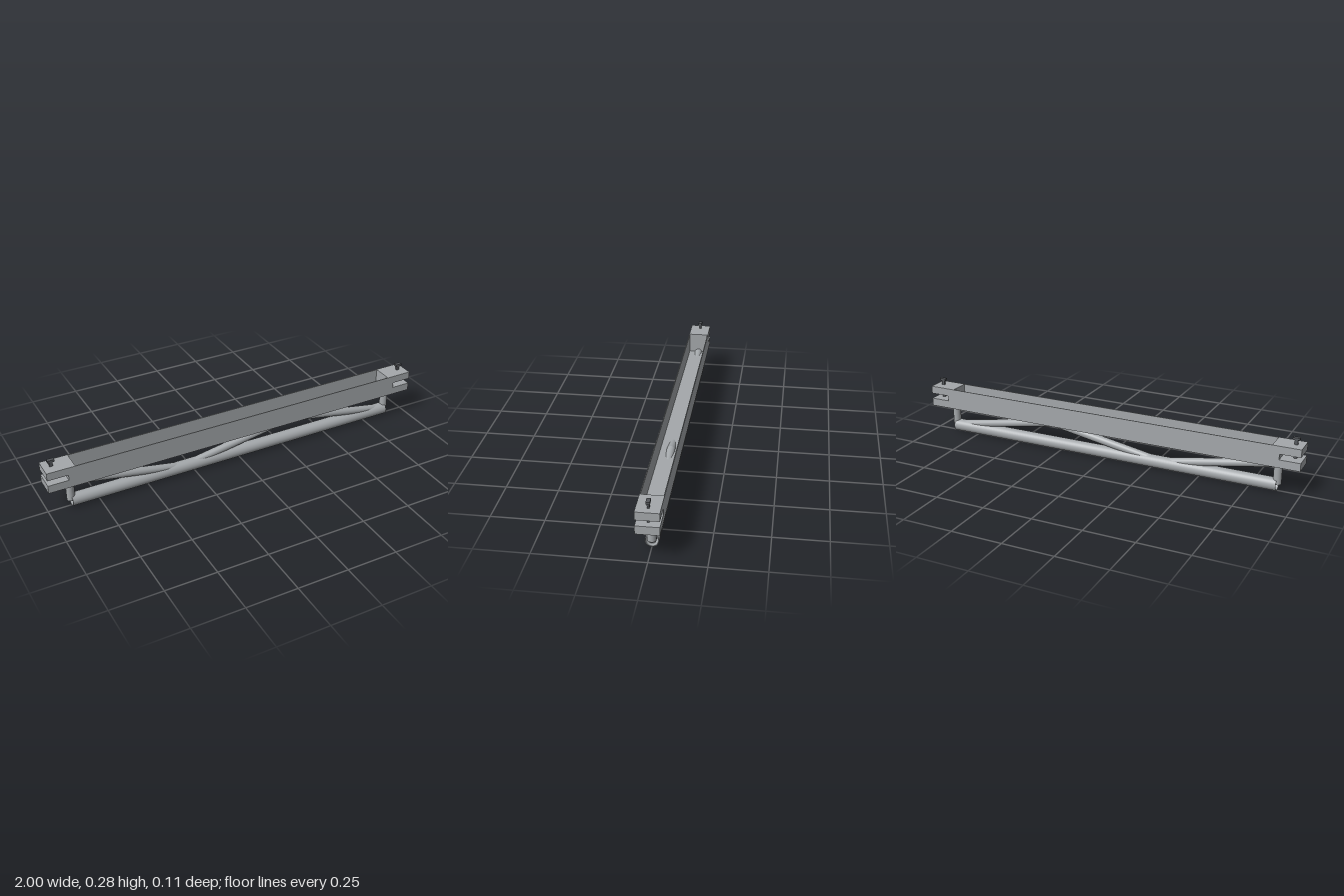
import * as THREE from 'three';
import { mergeGeometries } from 'three/addons/utils/BufferGeometryUtils.js';

const steel = new THREE.MeshStandardMaterial({ color: 0xa4a8ab, side: THREE.DoubleSide });
steel.name = 'grey steel';
const dark = new THREE.MeshStandardMaterial({ color: 0x55585c });
dark.name = 'dark bolt steel';

const WALL = 0.004;

// Open hollow pipe along x, centred on the origin
function pipe(radius, length) {
  const inner = radius - WALL;
  const parts = [radius, inner].map(r =>
    new THREE.CylinderGeometry(r, r, length, 40, 1, true).rotateZ(Math.PI / 2));
  for (const s of [-1, 1]) {
    parts.push(new THREE.RingGeometry(inner, radius, 40, 1)
      .rotateY(s * Math.PI / 2).translate(s * length / 2, 0, 0));
  }
  return mergeGeometries(parts);
}

// Shape in a plane, extruded and centred on its depth
function extrude(points, depth) {
  const shape = new THREE.Shape(points.map(p => new THREE.Vector2(p[0], p[1])));
  return new THREE.ExtrudeGeometry(shape, { depth, bevelEnabled: false }).translate(0, 0, -depth / 2);
}

export function createModel() {
  const model = new THREE.Group();
  model.name = 'trussBeam';
  const add = (name, geometry, material = steel, parent = model) => {
    const mesh = new THREE.Mesh(geometry, material);
    mesh.name = name;
    parent.add(mesh);
    return mesh;
  };

  // Thin channel, open at the top
  const bottom = 0.138, top = 0.245, half = 0.053, inside = half - WALL;
  const floor = bottom + WALL;
  add('channel', extrude([
    [-half, bottom], [half, bottom], [half, top], [inside, top],
    [inside, floor], [-inside, floor], [-inside, top], [-half, top],
  ], 1.73).rotateY(Math.PI / 2));

  // Lower chord pipe
  add('lowerChord', pipe(0.0315, 1.77).translate(0, 0.0315, 0));

  // Zigzag brace: each leg is a pipe sheared to its slope, so the joints are mitred
  const step = 0.587, high = 0.139, low = 0.035;
  for (let i = 0; i < 3; i++) {
    const slope = (i % 2 ? 1 : -1) * (high - low) / step;
    const shear = new THREE.Matrix4().set(1, 0, 0, 0, slope, 1, 0, 0, 0, 0, 1, 0, 0, 0, 0, 1);
    add('brace' + (i + 1), pipe(0.02, step).applyMatrix4(shear)
      .translate((i - 1) * step, (high + low) / 2, 0));
  }

  // Slotted end block, post and clamp bolt at each end
  for (const s of [1, -1]) {
    const end = new THREE.Group();
    end.name = s > 0 ? 'leftEnd' : 'rightEnd';
    if (s < 0) end.rotation.y = Math.PI;
    model.add(end);

    add('clampBlock', extrude([
      [0.863, bottom], [1, bottom], [1, 0.178], [0.899, 0.178],
      [0.899, 0.206], [1, 0.206], [1, top], [0.863, top],
    ], half * 2), steel, end);

    add('post', pipe(0.02, 0.105).rotateZ(Math.PI / 2).translate(0.884, 0.0875, 0), steel, end);

    add('boltShaft', new THREE.BoxGeometry(0.016, 0.144, 0.01).translate(0.96, 0.198, 0), dark, end);
    add('boltHead', new THREE.BoxGeometry(0.034, 0.011, 0.018).translate(0.96, 0.2745, 0), dark, end);
  }
  return model;
}
